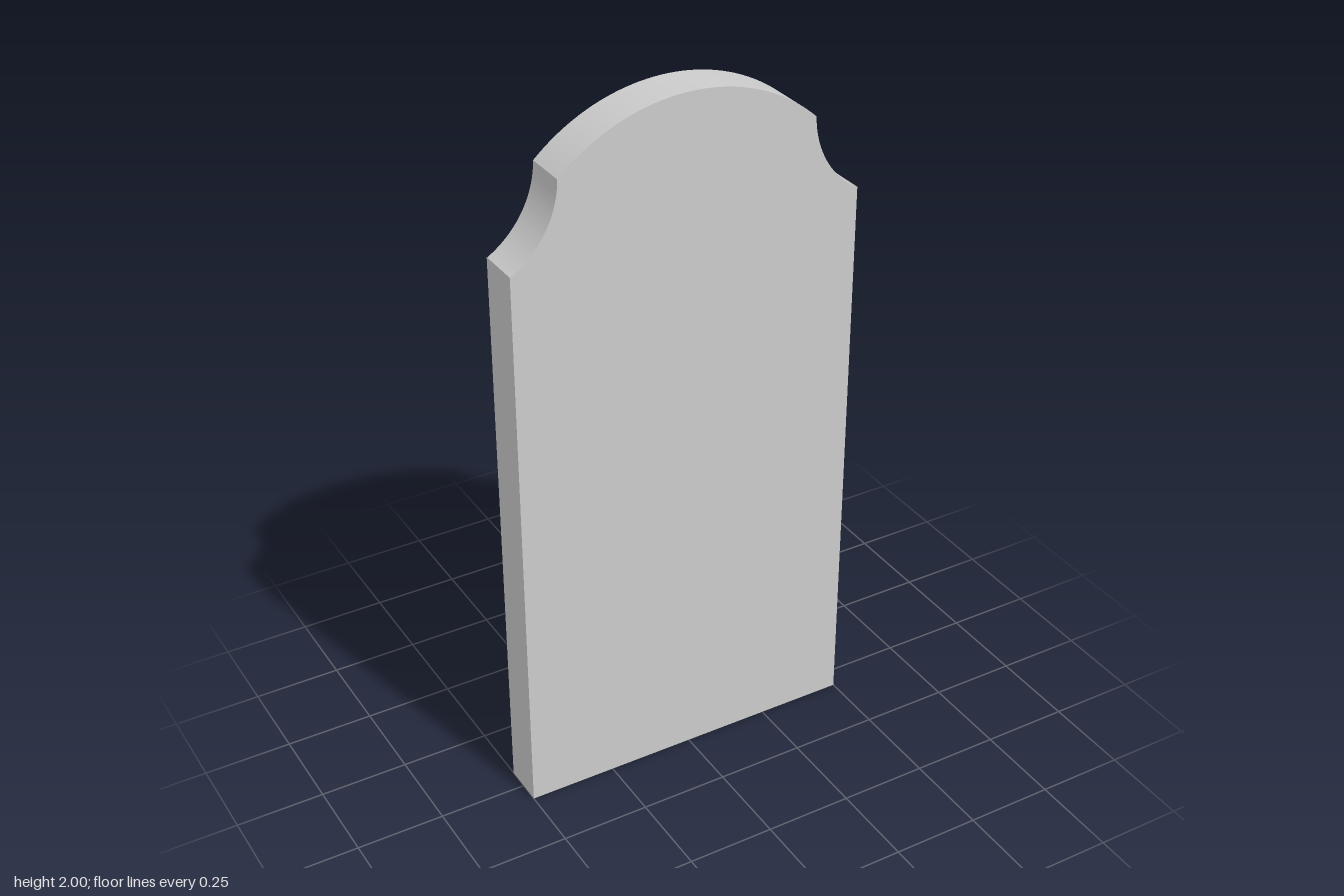
import * as THREE from 'three';
import { toCreasedNormals } from 'three/addons/utils/BufferGeometryUtils.js';

const HALF_WIDTH = 0.5, SHOULDER_Y = 1.63;
const CROWN_X = 0.365, CROWN_Y = 1.855, TOP_Y = 2;
const THICKNESS = 0.125;

// Right-hand scoop between shoulder and crown, mirrored for the other side
const SCOOP = { x: 0.635, y: 1.862, r: 0.27 };

export function createModel() {
  const group = new THREE.Group();
  group.name = 'headstone';

  // Crown arc through both crown corners and the apex
  const rise = TOP_Y - CROWN_Y;
  const crownR = (CROWN_X ** 2 + rise ** 2) / (2 * rise);
  const crownCy = TOP_Y - crownR;
  const crownA = Math.atan2(CROWN_Y - crownCy, CROWN_X);

  // Scoop angles, measured on the right side
  const low = Math.atan2(SHOULDER_Y - SCOOP.y, HALF_WIDTH - SCOOP.x);
  const high = Math.atan2(CROWN_Y - SCOOP.y, CROWN_X - SCOOP.x);

  // Outline, counter-clockwise from the bottom left
  const outline = new THREE.Shape();
  outline.moveTo(-HALF_WIDTH, 0);
  outline.lineTo(HALF_WIDTH, 0);
  outline.lineTo(HALF_WIDTH, SHOULDER_Y);
  outline.absarc(SCOOP.x, SCOOP.y, SCOOP.r, low, high, true);
  outline.absarc(0, crownCy, crownR, crownA, Math.PI - crownA, false);
  outline.absarc(-SCOOP.x, SCOOP.y, SCOOP.r, Math.PI - high, Math.PI - low, true);
  outline.lineTo(-HALF_WIDTH, SHOULDER_Y);
  outline.closePath();

  // Slab: smooth along the curves, sharp at the corners
  const slab = new THREE.ExtrudeGeometry(outline, {
    depth: THICKNESS, bevelEnabled: false, curveSegments: 32,
  });
  slab.translate(0, 0, -THICKNESS / 2);

  const mesh = new THREE.Mesh(
    toCreasedNormals(slab, 0.4),
    new THREE.MeshStandardMaterial({ color: 0xcccccc }),
  );
  mesh.name = 'slab';
  group.add(mesh);
  return group;
}
